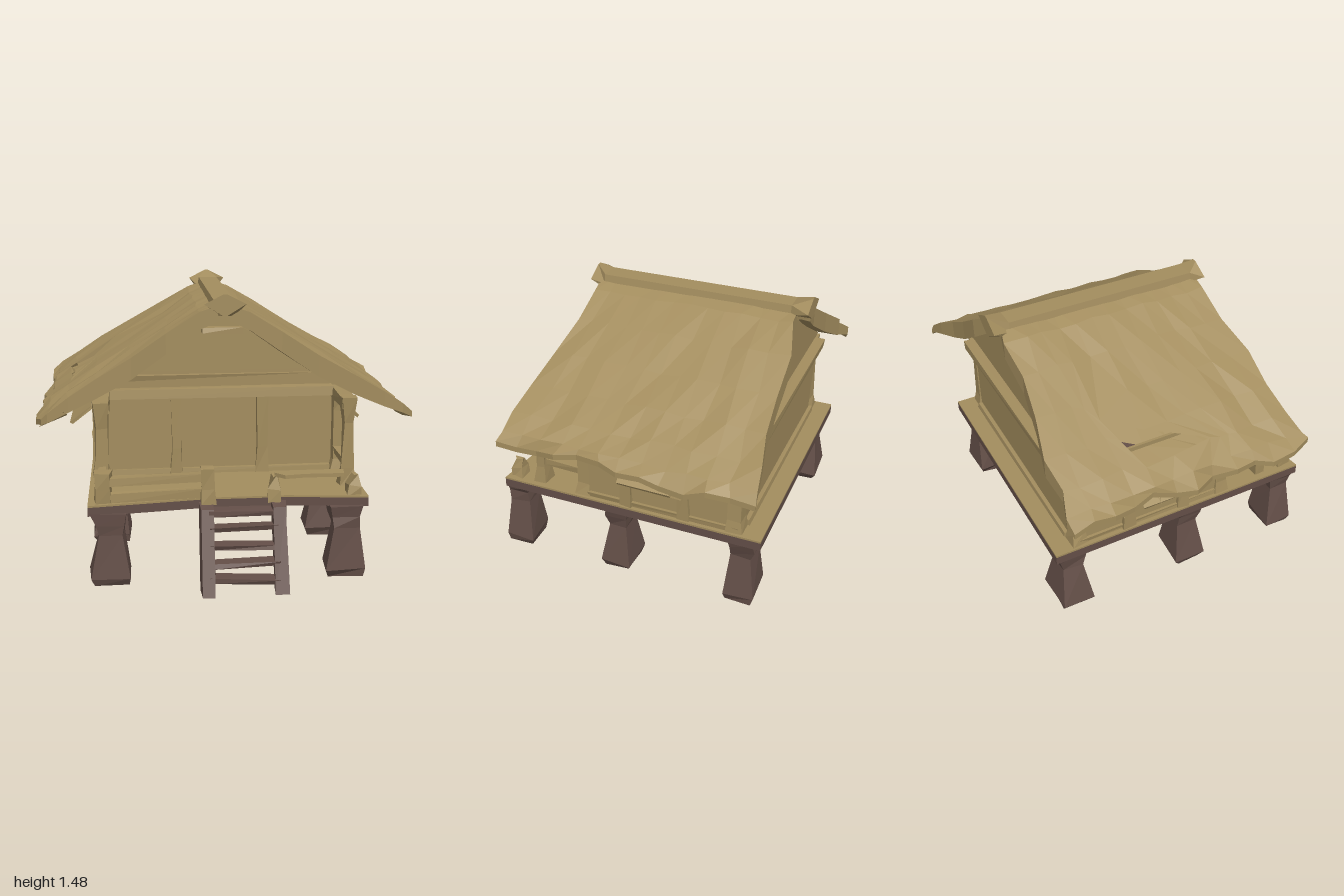
import * as THREE from 'three';

const straw = new THREE.MeshStandardMaterial({ color: 0xa38d5e, flatShading: true, side: THREE.DoubleSide });
straw.name = 'strawTan';
const timber = new THREE.MeshStandardMaterial({ color: 0x644f48, flatShading: true });
timber.name = 'darkTimber';

// Repeatable wobble in -1..1 from three numbers
const wobble = (a, b, c) => {
  const s = Math.sin(a * 127.1 + b * 311.7 + c * 74.7) * 43758.5453;
  return (s - Math.floor(s)) * 2 - 1;
};

export function createModel() {
  const hut = new THREE.Group();
  hut.name = 'stiltHut';

  function add(name, geo, mat) {
    const m = new THREE.Mesh(geo, mat);
    m.name = name;
    hut.add(m);
    return m;
  }
  // Hand-hewn look: equal corners move together
  function rough(geo, amt, seed) {
    const p = geo.attributes.position;
    for (let i = 0; i < p.count; i++) {
      const v = [p.getX(i), p.getY(i), p.getZ(i)].map((n) => Math.round(n * 1000) / 1000 + 0);
      const k = wobble(v[0], v[1], v[2]) + seed;
      p.setXYZ(i, v[0] + amt * wobble(k, 1, 0), v[1] + amt * 0.5 * wobble(k, 2, 0), v[2] + amt * wobble(k, 3, 0));
    }
    geo.computeVertexNormals();
    return geo;
  }
  function box(name, mat, size, pos, amt = 0.006) {
    const m = add(name, rough(new THREE.BoxGeometry(...size), amt, pos[0] * 3 + pos[2]), mat);
    m.position.set(...pos);
    return m;
  }
  // Upright with flared ends; rows are [height, half width, half depth]
  function post(name, mat, x, z, rows, amt) {
    const g = new THREE.BoxGeometry(2, 1, 2, 1, rows.length - 1, 1);
    const p = g.attributes.position;
    for (let i = 0; i < p.count; i++) {
      const r = rows[Math.round((p.getY(i) + 0.5) * (rows.length - 1))];
      p.setXYZ(i, p.getX(i) * r[1], r[0], p.getZ(i) * r[2]);
    }
    add(name, rough(g, amt, x + z * 2), mat).position.set(x, 0, z);
  }
  // Extruded outline
  function plate(points, depth) {
    const shape = new THREE.Shape(points.map((q) => new THREE.Vector2(...q)));
    return new THREE.ExtrudeGeometry(shape, { depth, bevelEnabled: false });
  }
  // Flat plate laid out in plan, with its top at the given height
  function slab(name, mat, points, top, depth) {
    add(name, plate(points, depth).rotateX(Math.PI / 2), mat).position.y = top;
  }

  // Platform, porch floor and dark indoor floor
  const plan = [[-0.73, -0.81], [0.73, -0.81], [0.73, 0.66], [0.3, 0.61], [-0.15, 0.61], [-0.73, 0.68]];
  slab('platform', timber, plan, 0.442, 0.047);
  slab('floor', straw, plan, 0.452, 0.01);
  slab('indoorFloor', timber, [[-0.68, -0.67], [0.68, -0.67], [0.68, 0.15], [-0.68, 0.15]], 0.458, 0.006);

  // Stilts
  for (const sx of [-1, 1]) for (const z of [0.61, 0, -0.7]) {
    post('stilt', timber, sx * 0.62, z, [[0.005, 0.085, 0.065], [0.05, 0.108, 0.085], [0.28, 0.066, 0.06], [0.34, 0.076, 0.064], [0.4, 0.09, 0.068]], 0.012);
  }

  // Ladder
  for (const x of [-0.12, 0.26]) {
    const g = plate([[0.61, 0.43], [0.68, 0.41], [0.85, 0], [0.76, 0]], 0.07);
    add('ladderRail', rough(g.rotateY(-Math.PI / 2), 0.008, x), timber).position.x = x + 0.035;
  }
  [0.06, 0.14, 0.22, 0.31, 0.385].forEach((y, i) => {
    const rung = box('ladderRung', timber, [0.36, 0.028, 0.07], [0.07, y, 0.8 - y * 0.4], 0.008);
    rung.rotation.z = i === 0 ? -0.06 : 0.015 * (i % 2 ? 1 : -1);
  });

  // End walls running up into the thatch
  const gable = [[-0.68, 0.45], [0.68, 0.45], [0.68, 0.99], [0.3, 1.23], [0, 1.38], [-0.3, 1.23], [-0.68, 0.99]];
  for (const [z, s, base] of [[0.17, 1, 1.04], [-0.69, -1, 0.97]]) {
    const inner = s > 0 ? z - 0.03 : z, outer = s > 0 ? z : z - 0.015;
    add(s > 0 ? 'frontWall' : 'backWall', plate(gable, 0.03), straw).position.z = inner;
    const half = (1.34 - base) * 1.75;
    add('gablePanel', plate([[-half, base], [half, base], [0, 1.34]], 0.015), straw).position.z = outer;
    box('tieBeam', straw, [1.24, 0.05, 0.07], [0, 0.92, z + s * 0.025]);
    box('sill', straw, [1.24, 0.03, 0.03], [0, 0.465, z + s * 0.012]);
  }
  box('upperBeam', straw, [1.14, 0.035, 0.04], [0, 1.0, 0.185]);
  box('collarBeam', straw, [0.22, 0.03, 0.07], [0, 1.265, 0.2]);

  // Door posts
  for (const x of [-0.25, 0.23]) {
    post('doorPost', straw, x, 0.185, [[0.45, 0.035, 0.025], [0.6, 0.026, 0.02], [0.9, 0.03, 0.025]], 0.006);
  }

  for (const s of [-1, 1]) {
    // Side wall
    box('sideWall', straw, [0.015, 0.52, 0.84], [s * 0.69, 0.71, -0.26], 0);
    box('sideSill', straw, [0.03, 0.03, 0.84], [s * 0.695, 0.465, -0.26]);
    box('porchPlate', straw, [0.07, 0.06, 0.32], [s * 0.65, 0.91, 0.32]);

    // Window frame and propped shutter
    for (const z of [-0.06, -0.38]) {
      post('windowPost', straw, s * 0.695, z, [[0.45, 0.025, 0.035], [0.65, 0.02, 0.025], [0.88, 0.025, 0.035]], 0.007);
    }
    for (const y of [0.605, 0.8]) box('windowRail', straw, [0.045, 0.04, 0.32], [s * 0.7, y, -0.22], 0.008);
    box('shutter', straw, [0.19, 0.016, 0.29], [s * 0.77, 0.743, -0.22]).rotation.z = -s * 0.67;

    // Corner posts and porch posts
    const rows = [[0.45, 0.05, 0.045], [0.52, 0.038, 0.035], [0.8, 0.034, 0.032], [0.93, 0.045, 0.045]];
    for (const z of [0.19, -0.66]) post('cornerPost', straw, s * 0.665, z, rows, 0.008);
    post('porchPost', straw, s * 0.655, 0.455, [[0.45, 0.04, 0.035], [0.55, 0.03, 0.028], [0.8, 0.03, 0.028], [0.94, 0.045, 0.04]], 0.008);
    box('sideRail', straw, [0.04, 0.04, 0.24], [s * 0.655, 0.575, 0.33]);
  }

  // Front railing: whole on the right, broken on the left
  post('railPost', straw, -0.65, 0.615, [[0.44, 0.045, 0.042], [0.53, 0.036, 0.036], [0.61, 0.042, 0.04]], 0.01);
  box('sideRail', straw, [0.04, 0.04, 0.14], [-0.655, 0.575, 0.53]);
  box('frontRail', straw, [0.5, 0.04, 0.05], [-0.37, 0.565, 0.615]).rotation.y = 0.08;
  box('lowerRail', straw, [0.5, 0.05, 0.03], [-0.37, 0.475, 0.615]).rotation.y = 0.08;
  post('gatePost', straw, -0.11, 0.595, [[0.42, 0.04, 0.04], [0.5, 0.032, 0.034], [0.61, 0.036, 0.036]], 0.008);
  post('brokenPost', straw, 0.24, 0.595, [[0.42, 0.04, 0.035], [0.49, 0.03, 0.03], [0.56, 0.02, 0.02]], 0.012);
  post('brokenPost', straw, 0.66, 0.6, [[0.44, 0.042, 0.04], [0.5, 0.032, 0.03], [0.56, 0.015, 0.015]], 0.012);
  slab('brokenRail', straw, [[0.24, 0.6], [0.36, 0.57], [0.61, 0.57], [0.6, 0.64], [0.4, 0.635], [0.29, 0.65]], 0.575, 0.02);

  // Thatch: profile rows of [x, height, thickness], swept from back to front
  const slope = [[0, 1.43, 0.08], [0.13, 1.385, 0.095], [0.3, 1.285, 0.11], [0.5, 1.165, 0.115], [0.68, 1.06, 0.105], [0.83, 0.97, 0.08], [0.93, 0.905, 0.05], [0.97, 0.86, 0.03]];
  const R = slope.length, C = 13;
  // Rim of the torn patch: row,column -> x, height, z
  const torn = {
    '3,3': [0.52, 1.155, -0.53], '3,4': [0.59, 1.115, -0.48], '4,4': [0.7, 1.05, -0.43], '4,5': [0.69, 1.055, -0.29],
    '5,4': [0.85, 0.96, -0.36], '5,5': [0.84, 0.965, -0.2], '5,6': [0.82, 0.98, 0.02], '5,7': [0.83, 0.97, 0.07], '5,8': [0.83, 0.97, 0.12],
  };
  function thatch(s) {
    const pos = [], idx = [];
    for (const layer of [0, 1]) slope.forEach(([x, y, t], i) => {
      const back = -0.74 - 0.085 * x, front = 0.37 + 0.17 * Math.pow(x, 1.5);
      for (let j = 0; j < C; j++) {
        const end = j === 0 || j === C - 1, eave = i === R - 1;
        const w = (n) => (i === 0 ? 0 : wobble(i + s * 0.37, j, n));
        const rim = s < 0 && torn[i + ',' + j];
        const [px, py, pz] = rim || [
          x + w(1) * (eave ? 0.03 : 0.01),
          y + w(2) * (eave ? 0.025 : 0.008),
          back + (front - back) * j / (C - 1) + w(3) * (end ? 0.022 : 0.012)];
        pos.push(s * px, py - layer * t, pz);
      }
    });
    const id = (l, i, j) => (l * R + i) * C + j;
    const tri = (a, b, c) => (s > 0 ? idx.push(a, b, c) : idx.push(a, c, b));
    const quad = (a, b, c, d) => { tri(a, b, c); tri(a, c, d); };
    for (let i = 0; i < R - 1; i++) for (let j = 0; j < C - 1; j++) for (const l of [0, 1]) {
      const a = id(l, i, j), b = id(l, i, j + 1), c = id(l, i + 1, j + 1), d = id(l, i + 1, j);
      // Torn through above, only the top layer lost below
      if (s < 0 && i === 4 && j === 4 && l === 0) continue;
      const half = s < 0 && ((i === 3 && j === 4) || (i === 4 && j === 5 && l === 0));
      if (half) l ? tri(a, c, b) : tri(a, b, c);
      else l ? quad(a, d, c, b) : quad(a, b, c, d);
    }
    // Closed front, back and eave edges
    for (let i = 0; i < R - 1; i++) {
      quad(id(0, i, C - 1), id(1, i, C - 1), id(1, i + 1, C - 1), id(0, i + 1, C - 1));
      quad(id(0, i, 0), id(0, i + 1, 0), id(1, i + 1, 0), id(1, i, 0));
    }
    for (let j = 0; j < C - 1; j++) quad(id(0, R - 1, j), id(0, R - 1, j + 1), id(1, R - 1, j + 1), id(1, R - 1, j));
    return indexed(pos, idx);
  }
  function indexed(pos, idx) {
    const g = new THREE.BufferGeometry();
    g.setAttribute('position', new THREE.Float32BufferAttribute(pos, 3));
    g.setIndex(idx);
    g.computeVertexNormals();
    return g;
  }
  add('thatchLeft', thatch(1), straw);
  add('thatchRight', thatch(-1), straw);

  // Ragged straw ends under the right eave
  for (let k = 0; k < 7; k++) {
    const tuft = add('strawTuft', new THREE.ConeGeometry(0.03, 0.16, 4), straw);
    tuft.position.set(-0.91, 0.86 + 0.01 * wobble(k, 5, 1), -0.74 + k * 0.2);
    tuft.rotation.set(0.2 * wobble(k, 2, 2), 0, 2.15);
  }

  // Ridge log: six-sided sections [z, half top, half middle, top, bottom]
  const ridge = [[0.4, 0.012, 0.11, 1.48, 1.37], [0.34, 0.055, 0.065, 1.445, 1.36], [-0.71, 0.055, 0.065, 1.445, 1.36], [-0.81, 0.012, 0.11, 1.48, 1.37]];
  const rp = [], ri = [];
  ridge.forEach(([z, a, w, t, b]) => {
    const m = t - 0.05;
    rp.push(-a, t, z, a, t, z, w, m, z, a, b, z, -a, b, z, -w, m, z);
  });
  for (let k = 0; k < 3; k++) for (let q = 0; q < 6; q++) {
    const a = k * 6 + q, b = k * 6 + (q + 1) % 6;
    ri.push(a, b, b + 6, a, b + 6, a + 6);
  }
  for (let q = 1; q < 5; q++) ri.push(0, q + 1, q, 18, 18 + q, 19 + q);
  add('ridgeLog', indexed(rp, ri), straw);

  return hut;
}
